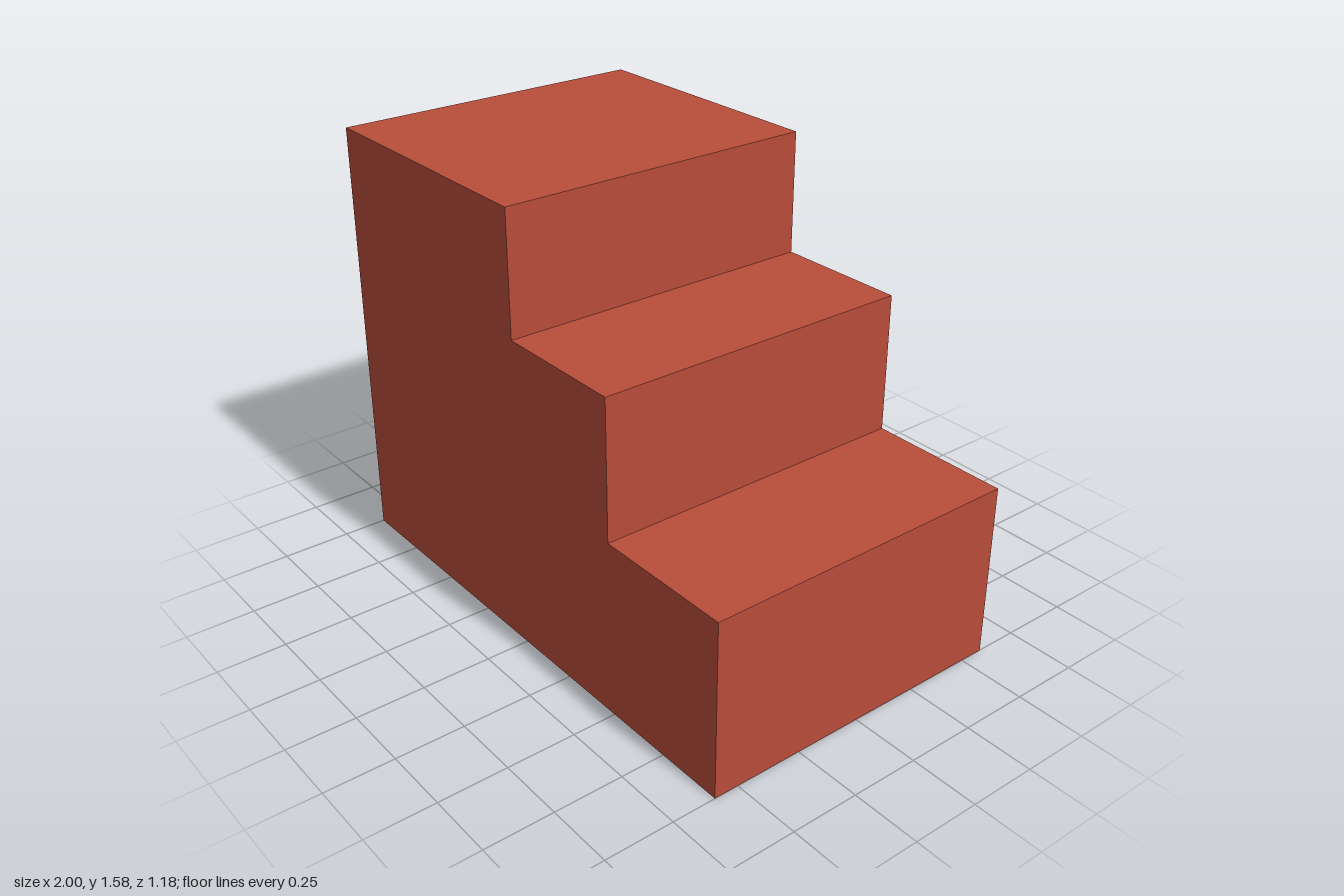
import * as THREE from 'three';

export function createModel() {
  const group = new THREE.Group();
  group.name = 'steppedBlock';

  const brickRed = new THREE.MeshStandardMaterial({ color: 0xb84d3a });
  brickRed.name = 'brickRed';

  // Staircase profile, descending toward +x
  const depth = 1.18;
  const steps = [
    { right: -0.01, top: 1.58 },
    { right: 0.48, top: 1.14 },
    { right: 1, top: 0.64 },
  ];
  const profile = new THREE.Shape();
  profile.moveTo(-1, 0);
  let left = -1;
  for (const { right, top } of steps) {
    profile.lineTo(left, top);
    profile.lineTo(right, top);
    left = right;
  }
  profile.lineTo(1, 0);
  profile.closePath();

  // One solid body, extruded front to back
  const geometry = new THREE.ExtrudeGeometry(profile, { depth, bevelEnabled: false });
  geometry.translate(0, 0, -depth / 2);
  const stairs = new THREE.Mesh(geometry, brickRed);
  stairs.name = 'stairs';
  group.add(stairs);

  return group;
}
